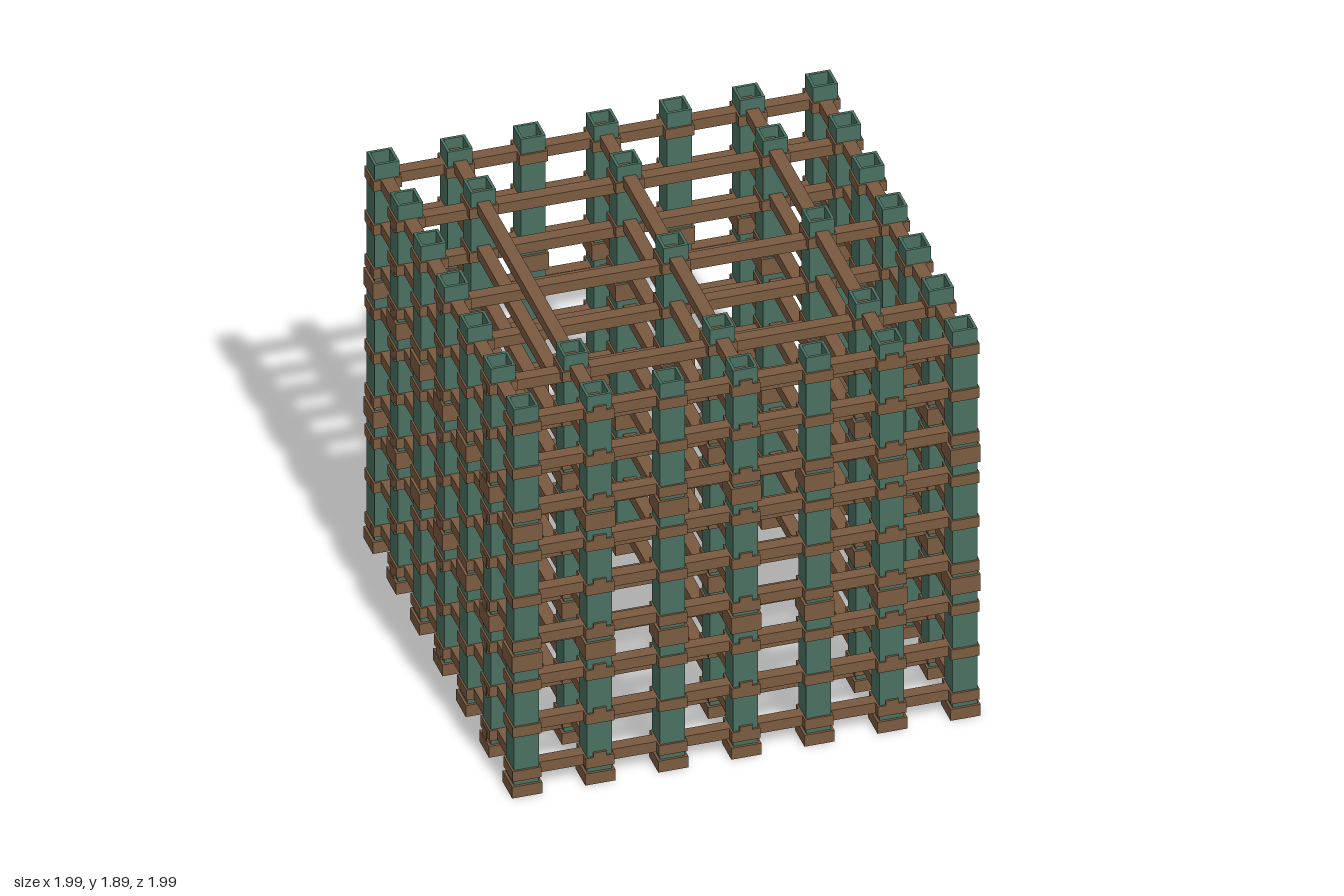
import * as THREE from 'three';

export function createModel() {
  const model = new THREE.Group();
  model.name = 'latticeFrame';
  const green = new THREE.MeshStandardMaterial({ color: 0x4a7060 });
  green.name = 'post green';
  const brown = new THREE.MeshStandardMaterial({ color: 0x7a5a40 });
  brown.name = 'timber brown';

  const PITCH = 0.311, STOREY = 0.63, TOP = 1.89, EDGE = 3 * PITCH;
  const levels = [];
  for (let s = 0; s < 3; s++) for (let k = 0; k < 3; k++) levels.push(0.103 + s * STOREY + k * 0.2145);

  const add = (parent, geometry, material, name, x, y, z) => {
    const mesh = new THREE.Mesh(geometry, material);
    mesh.name = name;
    mesh.position.set(x, y, z);
    parent.add(mesh);
  };

  // Hollow square post, open at the top
  const square = (Type, r) => new Type([[-r, -r], [r, -r], [r, r], [-r, r]].map(p => new THREE.Vector2(...p)));
  const outline = square(THREE.Shape, 0.053);
  outline.holes.push(square(THREE.Path, 0.041));
  const postGeo = new THREE.ExtrudeGeometry(outline, { depth: TOP - 0.04, bevelEnabled: false });
  postGeo.rotateX(-Math.PI / 2);

  const footGeo = new THREE.BoxGeometry(0.128, 0.055, 0.128);
  const socketGeo = new THREE.BoxGeometry(0.128, 0.08, 0.128);
  const collarGeo = new THREE.BoxGeometry(0.122, 0.05, 0.122);

  // Posts stand all round the edge, and at the crossings of the inner beams
  const inner = [-2, 0, 2];
  for (let i = -3; i <= 3; i++) for (let j = -3; j <= 3; j++) {
    const onEdge = Math.abs(i) === 3 || Math.abs(j) === 3;
    const onCrossing = inner.includes(i) && inner.includes(j) && !(i === -2 && j === 0);
    if (!onEdge && !onCrossing) continue;
    const column = new THREE.Group();
    column.name = 'column';
    column.position.set(i * PITCH, 0, j * PITCH);
    add(column, postGeo, green, 'post', 0, 0.04, 0);
    add(column, footGeo, brown, 'foot', 0, 0.0275, 0);
    for (const y of [0.65, 1.28]) add(column, socketGeo, brown, 'socket', 0, y, 0);
    for (const y of levels) add(column, collarGeo, brown, 'collar', 0, y, 0);
    model.add(column);
  }

  // Beams: edge beams level with the collars, inner x beams lower, inner z beams higher
  const xBeam = new THREE.BoxGeometry(1.99, 0.05, 0.055);
  const zBeam = new THREE.BoxGeometry(0.055, 0.05, 1.99);
  for (const y of levels) {
    for (const side of [-1, 1]) {
      add(model, xBeam, brown, 'edgeBeamX', 0, y, side * EDGE);
      add(model, zBeam, brown, 'edgeBeamZ', side * EDGE, y, 0);
    }
    for (const n of inner) {
      add(model, xBeam, brown, 'innerBeamX', 0, y - 0.022, n * PITCH);
      add(model, zBeam, brown, 'innerBeamZ', n * PITCH, y + 0.022, 0);
    }
  }
  return model;
}
